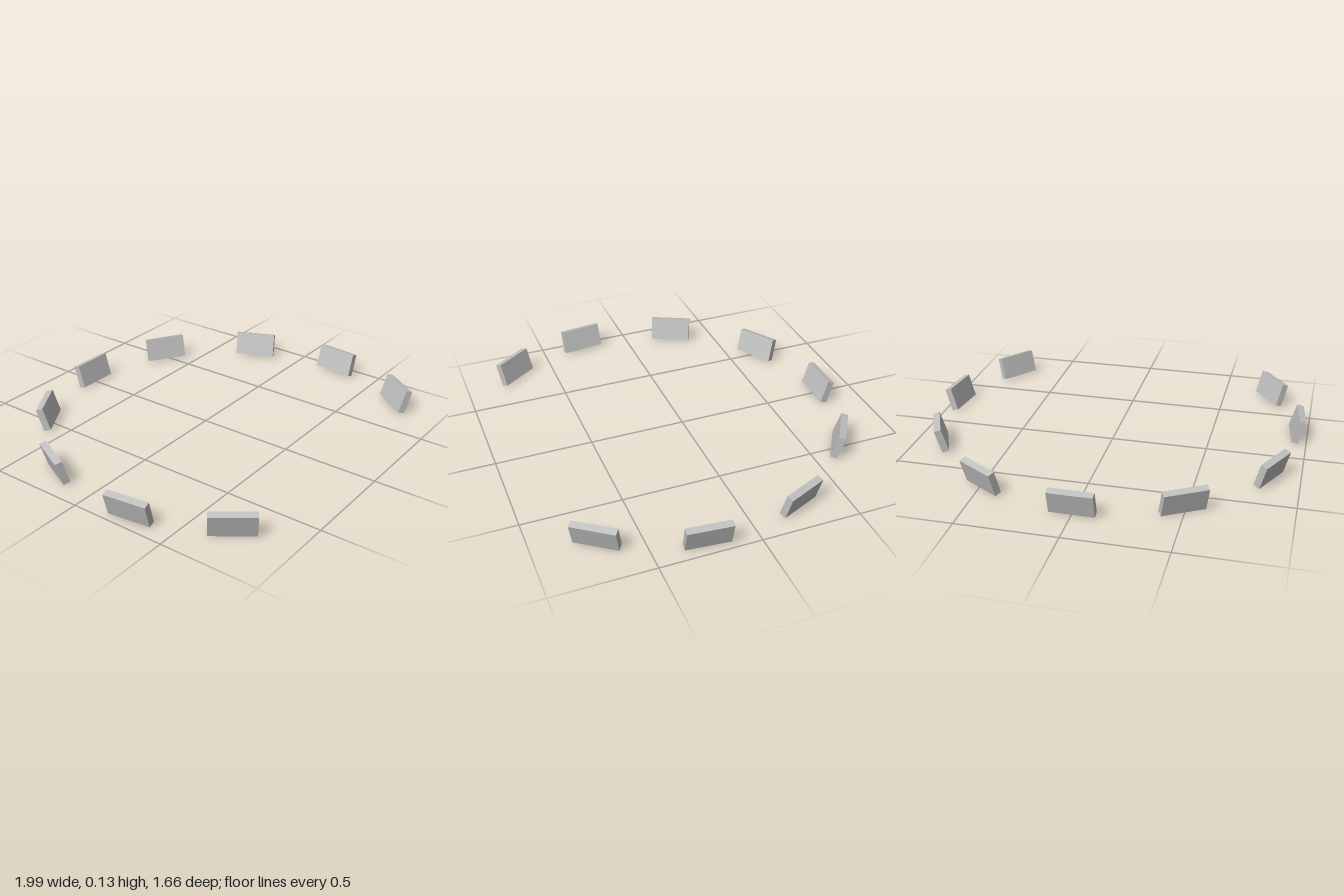
import * as THREE from 'three';

// Open ring of nine slabs, each leaning outward
const RADIUS = 0.953;
const CENTRE_Z = 0.152;
const LEAN = THREE.MathUtils.degToRad(16.5);

// [angle around the ring from the back, facing angle], in degrees
const SLABS = [
  [-126.3, -126.3],
  [-97.4, -97.5],
  [-64.4, -64.1],
  [-31.4, -30.9],
  [0, 0],
  [31.0, 31.6],
  [64.2, 66.2],
  [95.5, 95.5],
  [126.2, 126.2],
];

export function createModel() {
  const group = new THREE.Group();
  group.name = 'slabRing';

  const grey = new THREE.MeshStandardMaterial({ color: 0xc0c0c0 });
  grey.name = 'light grey';

  const slabGeometry = new THREE.BoxGeometry(0.222, 0.125, 0.036);

  SLABS.forEach(([angle, facing], i) => {
    const a = THREE.MathUtils.degToRad(angle);
    const slab = new THREE.Mesh(slabGeometry, grey);
    slab.name = `slab${i + 1}`;
    slab.position.set(RADIUS * Math.sin(a), 0.065, CENTRE_Z - RADIUS * Math.cos(a));
    // turn the outer face away from the centre, then lean the top outward
    slab.rotation.set(LEAN, Math.PI - THREE.MathUtils.degToRad(facing), 0, 'YXZ');
    group.add(slab);
  });

  return group;
}
